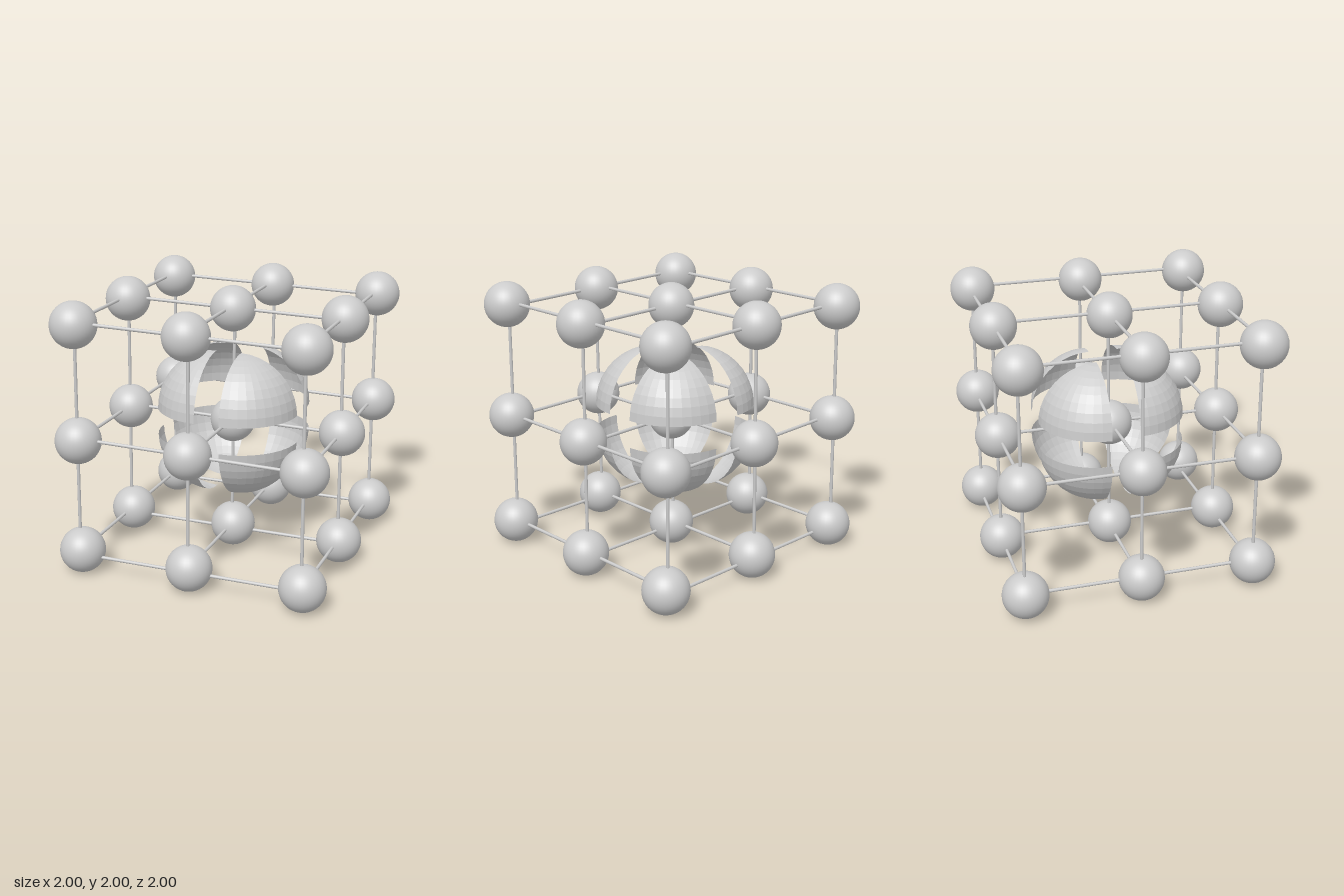
import * as THREE from 'three';

const R = 0.165;            // node radius
const P = 0.835;            // lattice spacing
const STEPS = [-1, 0, 1];

export function createModel() {
  const model = new THREE.Group();
  const grey = new THREE.MeshStandardMaterial({ color: 0xcccccc });
  const shellGrey = new THREE.MeshStandardMaterial({
    color: 0xcccccc, flatShading: true, side: THREE.DoubleSide });

  // 3 x 3 x 3 lattice of balls
  const balls = new THREE.Group();
  balls.name = 'latticeBalls';
  const ballGeo = new THREE.SphereGeometry(R, 32, 24);
  for (const i of STEPS) for (const j of STEPS) for (const k of STEPS) {
    const ball = new THREE.Mesh(ballGeo, grey);
    ball.name = 'ball';
    ball.position.set(i * P, 1 + j * P, k * P);
    balls.add(ball);
  }
  model.add(balls);

  // thin rods, three through-lines of nine per axis, slightly out of true
  const rods = new THREE.Group();
  rods.name = 'connectingRods';
  const up = new THREE.Vector3(0, 1, 0);
  const addRod = (name, a, b) => {
    const from = new THREE.Vector3(...a), dir = new THREE.Vector3(...b).sub(from);
    const rod = new THREE.Mesh(new THREE.CylinderGeometry(0.012, 0.012, dir.length(), 10), grey);
    rod.name = name;
    rod.position.copy(from).addScaledVector(dir, 0.5);
    rod.quaternion.setFromUnitVectors(up, dir.normalize());
    rods.add(rod);
  };
  for (const i of STEPS) for (const j of STEPS) {
    const low = i < 0;
    const y = 1 + i * P, z = j * P;
    addRod('crossRod', [-P, low ? 0.13 : y + 0.018, z + 0.014], [P, low ? 0.13 : y - 0.012, z - 0.016]);
    const tilt = j > 0 ? 0 : 0.012;
    addRod('uprightRod', [j * P - tilt - (j ? 0.01 : 0), 1 - P, i * P - 0.007],
      [j * P + tilt - (j ? 0.01 : 0), 1 + P, i * P - 0.007]);
    const level = [0.17, 1.005, 1.856][i + 1];
    addRod('depthRod', [j * P - 0.004, level, -P], [j * P + 0.004, level, P]);
  }
  model.add(rods);

  // hollow sphere split into eight separated shell pieces
  const shell = new THREE.Group();
  shell.name = 'splitShell';
  const Q = Math.PI / 2;
  // quarter order around the y axis: front -x, front +x, back +x, back -x
  const offsets = [[-0.095, 0.08], [0.093, 0.08], [0.093, -0.13], [-0.115, -0.13]];
  offsets.forEach(([x, z], q) => {
    for (const top of [true, false]) {
      const piece = new THREE.Mesh(
        new THREE.SphereGeometry(0.43, 10, 10, q * Q, Q, top ? 0 : Q, Q), shellGrey);
      piece.name = 'shellPiece';
      piece.position.set(x, top ? 1.112 : 0.912, z);
      piece.scale.y = 0.98;
      shell.add(piece);
    }
  });
  model.add(shell);

  return model;
}
